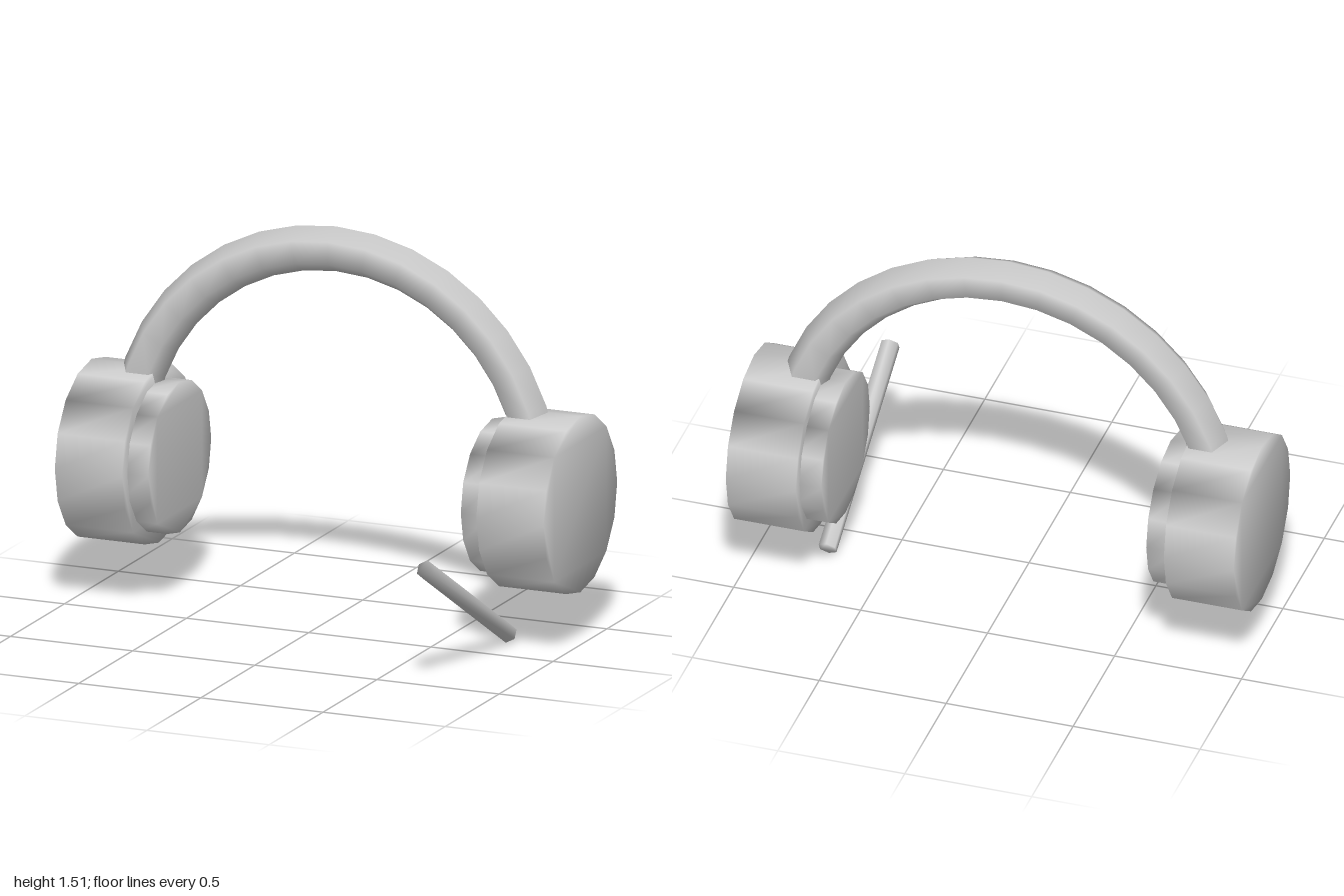
import * as THREE from 'three';
import { mergeVertices } from 'three/addons/utils/BufferGeometryUtils.js';

// Weld shared corners so the shading runs smoothly across every edge
function smooth(geometry) {
  geometry.deleteAttribute('uv');
  geometry.deleteAttribute('normal');
  const welded = mergeVertices(geometry, 1e-4);
  welded.computeVertexNormals();
  return welded;
}

// Regular prism along z, centred on the origin, with a corner pointing up
function prism(radius, length, sides) {
  const points = [];
  for (let i = 0; i < sides; i++) {
    const a = Math.PI / 2 + (i / sides) * Math.PI * 2;
    points.push(new THREE.Vector2(Math.cos(a) * radius, Math.sin(a) * radius));
  }
  const geometry = new THREE.ExtrudeGeometry(new THREE.Shape(points), {
    depth: length, bevelEnabled: false, steps: 1,
  });
  geometry.translate(0, 0, -length / 2);
  return smooth(geometry);
}

export function createModel() {
  const model = new THREE.Group();
  model.name = 'headset';
  const grey = new THREE.MeshStandardMaterial({ color: 0xcccccc });
  grey.name = 'light grey';

  const add = (name, geometry, x, y, z) => {
    const mesh = new THREE.Mesh(geometry, grey);
    mesh.name = name;
    mesh.position.set(x, y, z);
    model.add(mesh);
    return mesh;
  };

  // Headband: half ring with a six-sided section, its ends buried in the cups
  add('headband', smooth(new THREE.TorusGeometry(0.83, 0.087, 6, 18, Math.PI)), 0, 0.603, -0.253);

  // Ear cups with smaller cushions on their inner faces
  for (const [side, s] of [['left', 1], ['right', -1]]) {
    add(side + 'EarCup', prism(0.342, 0.275, 16), s * 0.8625, 0.552, -0.253).rotation.y = s * Math.PI / 2;
    add(side + 'EarCushion', prism(0.293, 0.12, 16), s * 0.7, 0.552, -0.253).rotation.y = s * Math.PI / 2;
  }

  // Microphone boom: thin six-sided rod rising towards the front
  add('microphoneBoom', prism(0.037, 0.878, 6), 0.732, 0.257, 0.193).rotation.x = -Math.PI / 6;

  return model;
}
